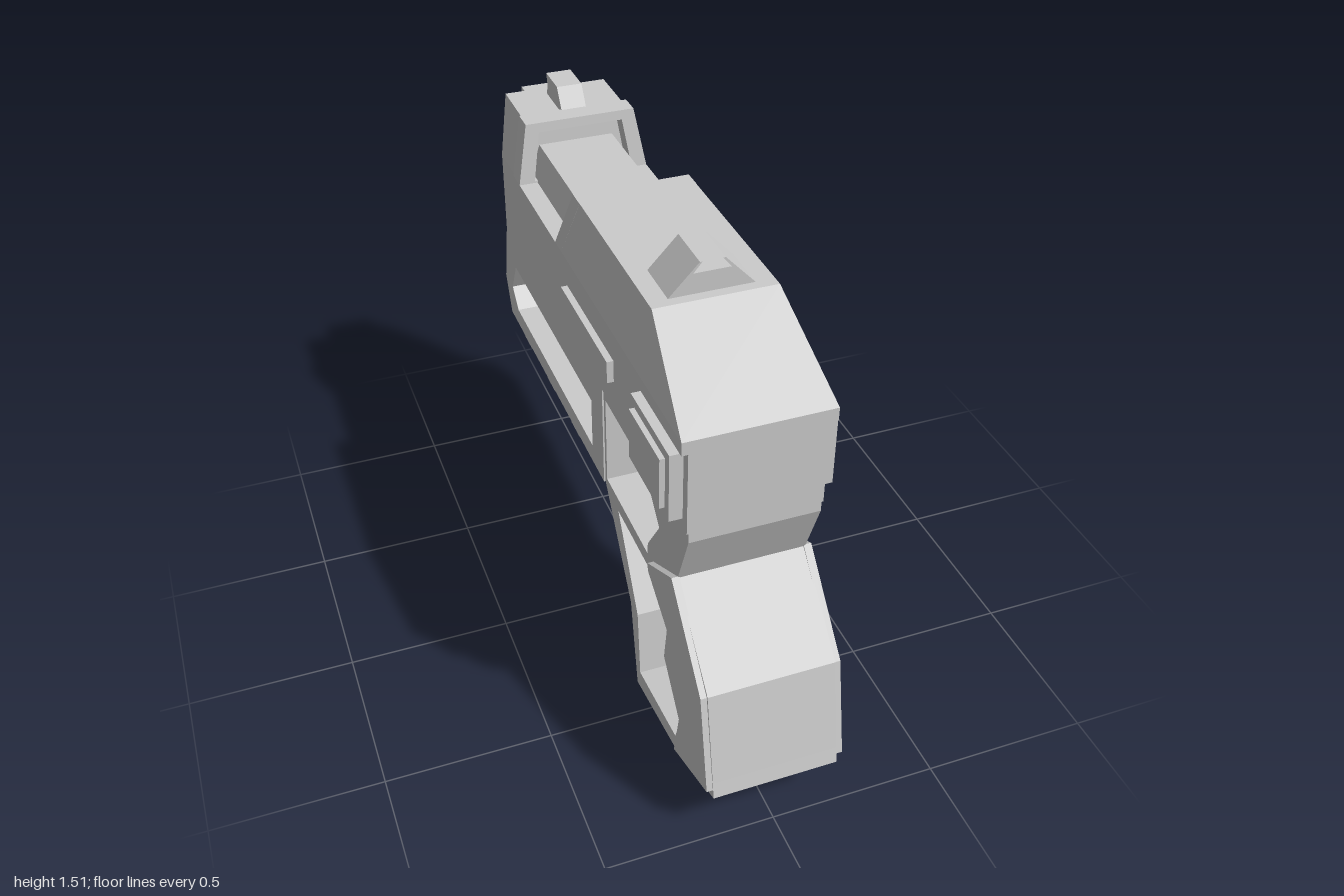
import * as THREE from 'three';

const material = new THREE.MeshStandardMaterial({ color: 0xcccccc, flatShading: true });

const toPath = (pts, Type) => new Type(pts.map(([a, b]) => new THREE.Vector2(a, b)));

function extrude(points, depth, holes = []) {
  const shape = toPath(points, THREE.Shape);
  shape.holes = holes.map((h) => toPath(h, THREE.Path));
  return new THREE.ExtrudeGeometry(shape, { depth, bevelEnabled: false });
}

// Side profile of [z, y] points, extruded between x = x0 and x = x1
function profile(points, x0, x1, holes) {
  return extrude(points, x1 - x0, holes).rotateY(-Math.PI / 2).translate(x1, 0, 0);
}

// Front section of [x, y] points, extruded between z = z0 and z = z1
function section(points, z0, z1, holes) {
  return extrude(points, z1 - z0, holes).translate(0, 0, z0);
}

// Move every vertex by a rule
function deform(geometry, rule) {
  const p = geometry.attributes.position;
  const v = new THREE.Vector3();
  for (let i = 0; i < p.count; i++) {
    rule(v.fromBufferAttribute(p, i));
    p.setXYZ(i, v.x, v.y, v.z);
  }
  geometry.computeVertexNormals();
  return geometry;
}

const rect = (a0, a1, b0, b1) => [[a0, b0], [a1, b0], [a1, b1], [a0, b1]];
const trapezoid = (wBottom, wTop, y0, y1) =>
  [[-wBottom, y0], [wBottom, y0], [wTop, y1], [-wTop, y1]];

// Narrow linearly above a given height
const taper = (geometry, y0, y1, ratio) => deform(geometry, (v) => {
  if (v.y > y0) v.x *= 1 + (ratio - 1) * (v.y - y0) / (y1 - y0);
});

export function createModel() {
  const model = new THREE.Group();
  const add = (name, geometry) => {
    const mesh = new THREE.Mesh(geometry, material);
    mesh.name = name;
    model.add(mesh);
    return mesh;
  };

  // Frame with the long slot above the accessory rail
  add('frame', profile(
    [[0.78, 1.2], [-0.9, 1.2], [-0.9, 0.93], [-0.955, 0.71], [-0.9, 0.59],
      [0.11, 0.59], [0.11, 0.93], [0.78, 0.93]], -0.19, 0.19,
    [[[0.005, 0.82], [-0.81, 0.82], [-0.87, 0.71], [-0.81, 0.65], [0.005, 0.65]]]));

  // Grip with trigger opening and skeleton cut-out
  add('grip', profile(
    [[0.78, 0.93], [0.11, 0.93], [0.11, 0.59], [0.33, 0.29], [0.385, 0], [0.745, 0.055],
      [1, 0.16], [0.99, 0.21], [0.935, 0.49], [0.71, 0.72], [0.78, 0.9]], -0.185, 0.185,
    [
      [[0.125, 0.9], [0.45, 0.9], [0.57, 0.78], [0.48, 0.65], [0.475, 0.61], [0.125, 0.61]],
      [[0.225, 0.565], [0.5, 0.565], [0.65, 0.48], [0.635, 0.375], [0.755, 0.235],
        [0.71, 0.1], [0.41, 0.065], [0.39, 0.29]],
    ]));

  add('trigger', profile(
    [[0.46, 0.91], [0.3, 0.91], [0.325, 0.79], [0.275, 0.645], [0.365, 0.645], [0.465, 0.8]],
    -0.06, 0.06));

  // Upper front block
  add('frontBlock', taper(
    profile([[-0.68, 1.2], [-0.695, 1.41], [-0.9, 1.41], [-0.9, 1.2]], -0.19, 0.19),
    1.2, 1.41, 0.87));

  // Slide: straight lower band, tapered rear cover and framed openings
  add('slideBand', profile(
    [[0.785, 1.19], [0.785, 1.23], [-0.688, 1.23], [-0.685, 1.19]], -0.21, 0.21));
  add('slideCover', taper(
    profile([[0.785, 1.23], [0.48, 1.42], [-0.1, 1.42], [-0.18, 1.23]], -0.21, 0.21),
    1.23, 1.42, 0.83));
  const slideFrame = (name, z0, z1, lean) => add(name, deform(
    section(trapezoid(0.21, 0.175, 1.23, 1.42), z0, z1,
      [trapezoid(0.16, 0.135, 1.235, 1.39)]),
    (v) => { v.z += lean * (v.y - 1.23) / 0.19; }));
  slideFrame('slideRearFrame', -0.24, -0.18, 0.08);
  slideFrame('slideFrontFrame', -0.685, -0.615, -0.02);

  // Barrel in the opening, and the hollow muzzle
  add('barrel', section(trapezoid(0.155, 0.12, 1.22, 1.32), -0.7, -0.16));
  add('muzzle', section(rect(-0.085, 0.085, 1.235, 1.38), -1, -0.9,
    [rect(-0.062, 0.062, 1.258, 1.357)]));

  // Sights
  add('frontSight', profile(
    [[-0.69, 1.405], [-0.74, 1.48], [-0.855, 1.48], [-0.845, 1.44], [-0.86, 1.405]],
    -0.04, 0.04));
  add('rearSight', section(
    [[-0.12, 1.42], [0.12, 1.42], [0.035, 1.51], [0.028, 1.51], [0.052, 1.48],
      [-0.052, 1.48], [-0.028, 1.51], [-0.035, 1.51]], 0.3, 0.45));

  // Accessory rail teeth
  for (const z of [-0.205, -0.47, -0.735]) {
    add('railTooth', profile(
      [[z + 0.065, 0.595], [z - 0.065, 0.595], [z - 0.042, 0.56], [z + 0.042, 0.56]],
      -0.18, 0.18));
  }

  // Details mirrored on both sides
  const gripPanel = [[0.71, 0.725], [0.525, 0.62], [0.53, 0.595], [0.68, 0.505], [0.66, 0.385],
    [0.78, 0.25], [0.745, 0.09], [0.992, 0.185], [0.93, 0.485]];
  for (const [side, s] of [['left', 1], ['right', -1]]) {
    const addSide = (name, points, inner, outer) =>
      add(side + name, profile(points, Math.min(s * inner, s * outer), Math.max(s * inner, s * outer)));
    addSide('GripPanel', gripPanel, 0.18, 0.203);
    addSide('RearPlate', rect(0.47, 0.75, 0.96, 1.17), 0.185, 0.228);
    addSide('RearPad', rect(0.497, 0.722, 0.985, 1.142), 0.22, 0.243);
    addSide('SideBar', rect(-0.2, 0.22, 1.03, 1.1), 0.185, 0.21);
  }
  return model;
}
